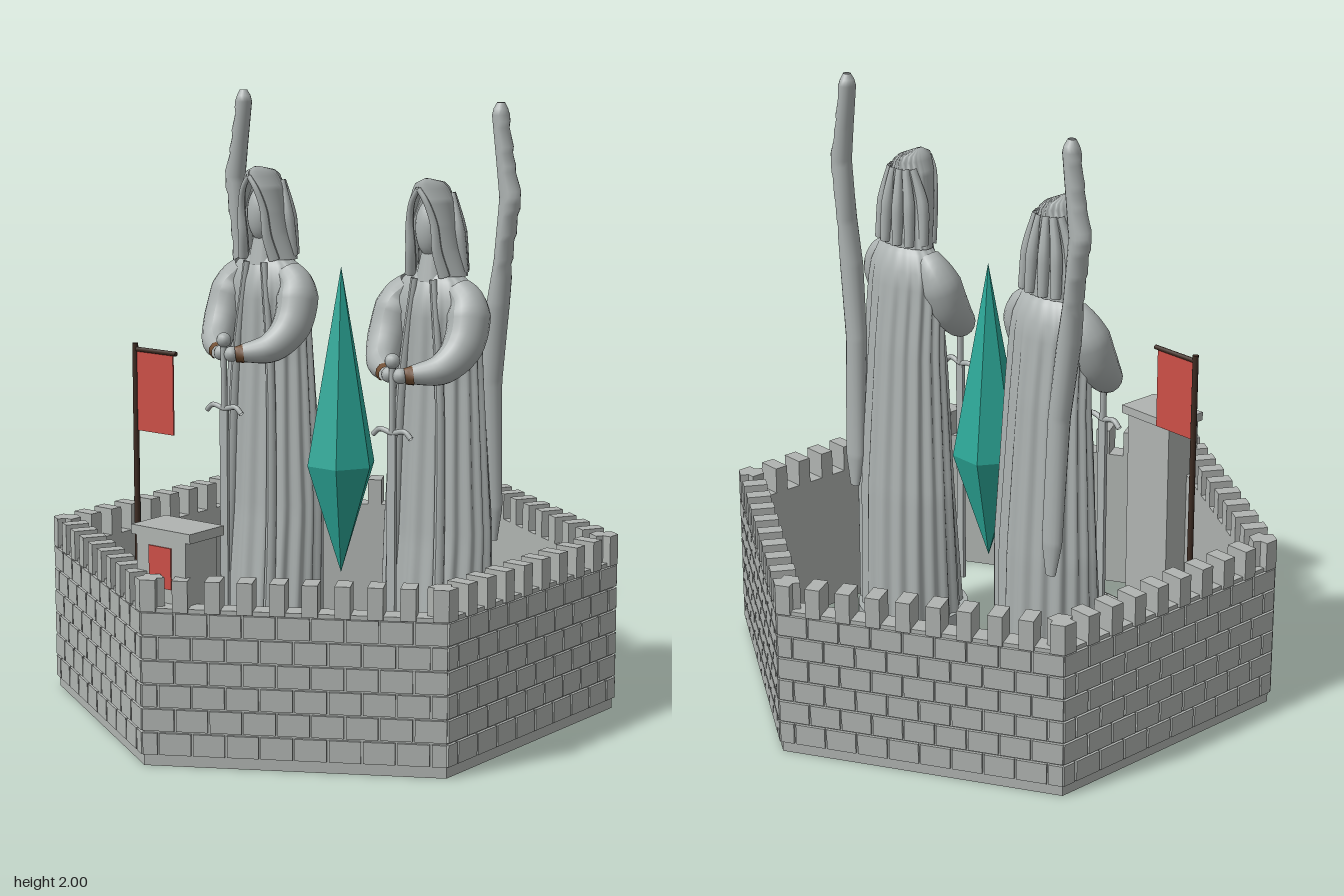
import * as THREE from 'three';
import { mergeGeometries } from 'three/addons/utils/BufferGeometryUtils.js';
import { ParametricGeometry } from 'three/addons/geometries/ParametricGeometry.js';

const mat = (name, color, extra = {}) => {
  const m = new THREE.MeshStandardMaterial({ color, ...extra });
  m.name = name;
  return m;
};
const V = (x, y, z) => new THREE.Vector3(x, y, z);

function add(parent, name, geometry, material, x = 0, y = 0, z = 0) {
  const m = new THREE.Mesh(geometry, material);
  m.name = name;
  m.position.set(x, y, z);
  parent.add(m);
  return m;
}

const box = (w, h, d, x = 0, y = 0, z = 0) => new THREE.BoxGeometry(w, h, d).translate(x, y, z);

// Linear interpolation in rows of [y, a, b, ...]
function sample(rows, y) {
  let i = 0;
  while (i < rows.length - 2 && y > rows[i + 1][0]) i++;
  const t = (y - rows[i][0]) / (rows[i + 1][0] - rows[i][0]);
  return rows[i].map((a, k) => a + (rows[i + 1][k] - a) * t);
}

// Tube whose radius follows a list of values
function taper(points, radii, sides = 12, segs = 20) {
  const curve = new THREE.CatmullRomCurve3(points);
  const g = new THREE.TubeGeometry(curve, segs, 1, sides);
  const p = g.attributes.position, v = V(0, 0, 0);
  for (let i = 0; i < p.count; i++) {
    const u = Math.floor(i / (sides + 1)) / segs;
    const f = u * (radii.length - 1), k = Math.min(Math.floor(f), radii.length - 2);
    const r = radii[k] + (radii[k + 1] - radii[k]) * (f - k);
    const c = curve.getPointAt(u);
    v.fromBufferAttribute(p, i).sub(c).multiplyScalar(r).add(c);
    p.setXYZ(i, v.x, v.y, v.z);
  }
  g.computeVertexNormals();
  return g;
}

function hexPath(PathType, apothem) {
  const r = apothem / Math.cos(Math.PI / 6), path = new PathType();
  for (let k = 0; k < 6; k++) {
    const a = Math.PI / 6 + k * Math.PI / 3;
    path[k ? 'lineTo' : 'moveTo'](r * Math.cos(a), r * Math.sin(a));
  }
  path.closePath();
  return path;
}

// Hexagonal rampart with brick courses and merlons
function buildRampart(stone) {
  const g = new THREE.Group();
  g.name = 'rampart';
  const shape = hexPath(THREE.Shape, 0.81);
  shape.holes.push(hexPath(THREE.Path, 0.74));
  add(g, 'wallCore', new THREE.ExtrudeGeometry(shape, { depth: 0.5, bevelEnabled: false }).rotateX(-Math.PI / 2), stone);

  const L = 0.947, bricks = [], merlons = [], n = 9, bw = L / n;
  for (let row = 0; row < 6; row++) {
    const y = 0.072 + row * 0.076;
    for (let i = 0; i <= n; i++) {
      const off = row % 2 ? 0 : bw / 2;
      const a = Math.max(-L / 2, -L / 2 + i * bw - off), b = Math.min(L / 2, -L / 2 + (i + 1) * bw - off);
      if (b - a < 0.02) continue;
      bricks.push(box(0.02, 0.069, b - a - 0.007, 0.81, y, (a + b) / 2));
    }
  }
  for (let i = 0; i <= n; i++) {
    merlons.push(box(0.08, 0.1, 0.048, 0.78, 0.54, -L / 2 + 0.024 + i * (L - 0.048) / n));
  }
  for (let k = 0; k < 6; k++) {
    const side = new THREE.Group();
    side.name = 'wallSide';
    side.rotation.y = k * Math.PI / 3;
    add(side, 'bricks', mergeGeometries(bricks), stone);
    add(side, 'merlons', mergeGeometries(merlons), stone);
    g.add(side);
  }
  return g;
}

// Robed winged guardian; s is the side (+1 or -1) of its single wing
function buildStatue(s, stone, leather) {
  const g = new THREE.Group();
  g.name = 'statue';
  g.position.x = s * 0.35;

  add(g, 'plinth', new THREE.CylinderGeometry(0.19, 0.19, 0.14, 32), stone, 0, 0.07, -0.09);

  // Robe: [y, half width, front z, back z]
  const robe = [[0.1, 0.185, 0.05, -0.255], [0.6, 0.188, 0.005, -0.24], [1.1, 0.16, -0.015, -0.21],
    [1.36, 0.155, -0.015, -0.185], [1.43, 0.125, -0.03, -0.165], [1.49, 0.045, -0.06, -0.12]];
  add(g, 'robe', new ParametricGeometry((u, v, t) => {
    const y = 0.1 + v * 1.39, [, w, zf, zb] = sample(robe, y), a = u * Math.PI * 2;
    const depth = 1 - Math.max(0, (y - 1.25) / 0.24);
    const f = 1 + 0.045 * depth * Math.cos(17 * a + 0.6 * Math.sin(3 * y)) + 0.02 * depth * Math.cos(6 * a);
    t.set(w * f * Math.sin(a), y, (zf + zb) / 2 + (zf - zb) / 2 * f * Math.cos(a));
  }, 136, 24), stone);

  // Folded stole panels down the front
  for (const x of [-0.075, 0.075]) {
    add(g, 'stoleFold', taper([V(x * 0.5, 1.44, -0.03), V(x, 1.1, -0.015), V(x * 1.2, 0.6, 0), V(x * 1.3, 0.12, 0.03)],
      [0.012, 0.016, 0.018, 0.02], 8), stone);
  }

  // Face and hood; hood rows: [y, half width, centre z, half depth, opening half angle]
  const face = add(g, 'face', new THREE.SphereGeometry(1, 20, 14), stone, 0, 1.6, -0.068);
  face.scale.set(0.052, 0.095, 0.05);
  add(g, 'neck', new THREE.CylinderGeometry(0.035, 0.06, 0.12, 16), stone, 0, 1.49, -0.085);
  const hood = [[1.45, 0.115, -0.1, 0.06, 0.62], [1.53, 0.096, -0.087, 0.068, 0.58], [1.62, 0.082, -0.077, 0.073, 0.62],
    [1.69, 0.07, -0.072, 0.075, 0.4], [1.73, 0.05, -0.068, 0.07, 0.02], [1.75, 0.032, -0.058, 0.058, 0], [1.76, 0.003, -0.04, 0.01, 0]];
  add(g, 'hood', new ParametricGeometry((u, v, t) => {
    const y = 1.45 + v * 0.31, [, w, zc, d, open] = sample(hood, y);
    const a = open + u * (Math.PI * 2 - 2 * open), back = Math.max(0, -Math.cos(a));
    const f = 1 + 0.05 * back * Math.cos(22 * a);
    t.set(w * f * Math.sin(a), y, zc + d * f * Math.cos(a));
  }, 72, 20), stone);
  for (const m of [-1, 1]) {
    const rim = hood.slice(0, 5).map(([y, w, zc, d, o]) => V(m * w * Math.sin(o), y, zc + d * Math.cos(o)));
    add(g, 'hoodRim', taper(rim, [0.02, 0.017, 0.012, 0.009], 8), stone);
    // Long hair locks beside and behind the head
    for (const [x, z] of [[0.1, -0.1], [0.075, -0.14], [0.03, -0.155]]) {
      add(g, 'hairLock', taper([V(m * x * 0.5, 1.71, z * 0.5 - 0.06), V(m * x * 0.85, 1.6, z), V(m * x, 1.46, z - 0.01)],
        [0.012, 0.02, 0.016], 8, 12), stone);
    }
    // Wide sleeve, cuff and hand
    add(g, 'sleeve', taper([V(m * 0.09, 1.41, -0.09), V(m * 0.135, 1.36, -0.085), V(m * 0.15, 1.24, -0.04),
      V(m * 0.12, 1.17, 0.03), V(m * 0.05, 1.15, 0.1)], [0.045, 0.07, 0.066, 0.052, 0.03], 16, 24), stone);
    add(g, 'cuff', taper([V(m * 0.055, 1.15, 0.1), V(m * 0.035, 1.147, 0.118)], [0.032, 0.026], 10, 2), leather);
    add(g, 'hand', new THREE.SphereGeometry(0.026, 12, 8), stone, m * 0.022, 1.148, 0.122);
  }

  // Sword held point down
  const sword = new THREE.Group();
  sword.name = 'sword';
  sword.position.z = 0.135;
  add(sword, 'pommel', new THREE.SphereGeometry(0.025, 12, 10), stone, 0, 1.195, 0);
  add(sword, 'grip', new THREE.CylinderGeometry(0.011, 0.011, 0.22, 10), stone, 0, 1.075, 0);
  add(sword, 'guard', new THREE.TubeGeometry(new THREE.CatmullRomCurve3([V(-0.075, 0.952, 0), V(-0.05, 0.972, 0),
    V(0, 0.964, 0), V(0.05, 0.972, 0), V(0.075, 0.952, 0)]), 20, 0.009, 8), stone);
  add(sword, 'blade', box(0.032, 0.8, 0.012), stone, 0, 0.56, 0);
  g.add(sword);

  // Wing rows: [y, inner x, outer x, centre z, half depth]
  const wing = [[0.57, 0.12, 0.16, -0.225, 0.012], [0.68, 0.1, 0.18, -0.22, 0.025], [1.1, 0.11, 0.185, -0.2, 0.034],
    [1.35, 0.14, 0.215, -0.19, 0.04], [1.5, 0.17, 0.225, -0.19, 0.038], [1.7, 0.185, 0.262, -0.19, 0.036],
    [1.82, 0.172, 0.232, -0.19, 0.033], [1.97, 0.152, 0.208, -0.19, 0.03], [2, 0.168, 0.195, -0.19, 0.012]];
  add(g, 'wing', new ParametricGeometry((u, v, t) => {
    const y = 0.57 + v * 1.43, [, xi, xo, zc, d] = sample(wing, y), a = u * Math.PI * 2;
    const notch = y > 1.45 && y < 1.96 ? 0.012 * ((y * 14) % 1) * Math.max(0, Math.cos(a)) : 0;
    t.set(s * ((xi + xo) / 2 + (xo - xi) / 2 * Math.cos(a) - notch), y, zc + d * Math.sin(a));
  }, 16, 72), stone);
  return g;
}

export function createModel() {
  const wallStone = mat('wall stone', 0xb0b4b1);
  const statueStone = mat('statue stone', 0xabb1b0, { side: THREE.DoubleSide });
  const crystalMat = mat('teal crystal', 0x2ca898, { flatShading: true });
  const cloth = mat('red cloth', 0xcc4f47);
  const wood = mat('dark wood', 0x3d2b22);
  const leather = mat('brown leather', 0x6e4b2f);

  const model = new THREE.Group();
  model.name = 'fortressShrine';
  model.add(buildRampart(wallStone));
  for (const s of [-1, 1]) model.add(buildStatue(s, statueStone, leather));

  // Floating crystal
  const crystal = new THREE.Group();
  crystal.name = 'crystal';
  crystal.position.z = -0.05;
  const top = new THREE.ConeGeometry(0.12, 0.66, 6, 1, true).rotateY(Math.PI / 6);
  const bottom = new THREE.ConeGeometry(0.12, 0.37, 6, 1, true).rotateX(Math.PI).rotateY(Math.PI / 6);
  add(crystal, 'crystalTop', top, crystalMat, 0, 1.12, 0);
  add(crystal, 'crystalBottom', bottom, crystalMat, 0, 0.605, 0);
  model.add(crystal);

  // Steps rising toward the shrine
  for (let i = 0; i < 4; i++) {
    const h = 0.045 * (i + 1);
    add(model, 'step', box(0.38, h, 0.0675), wallStone, 0, 0.04 + h / 2, 0.496 - i * 0.0675);
  }

  // Podium with a red front panel
  add(model, 'podium', box(0.2, 0.67, 0.145), wallStone, 0, 0.365, 0.775);
  add(model, 'podiumCap', box(0.24, 0.03, 0.16), wallStone, 0, 0.715, 0.77);
  add(model, 'podiumPanel', box(0.09, 0.13, 0.006), cloth, -0.002, 0.61, 0.849);

  // Banner on its pole
  const banner = new THREE.Group();
  banner.name = 'banner';
  banner.position.set(-0.56, 0, 0.34);
  add(banner, 'pole', new THREE.CylinderGeometry(0.01, 0.01, 1.19, 10), wood, 0, 0.595, 0);
  add(banner, 'crossbar', new THREE.CylinderGeometry(0.008, 0.008, 0.18, 8).rotateZ(Math.PI / 2), wood, 0.09, 1.17, 0);
  add(banner, 'flag', box(0.16, 0.265, 0.005), cloth, 0.087, 1.03, 0);
  model.add(banner);
  return model;
}
